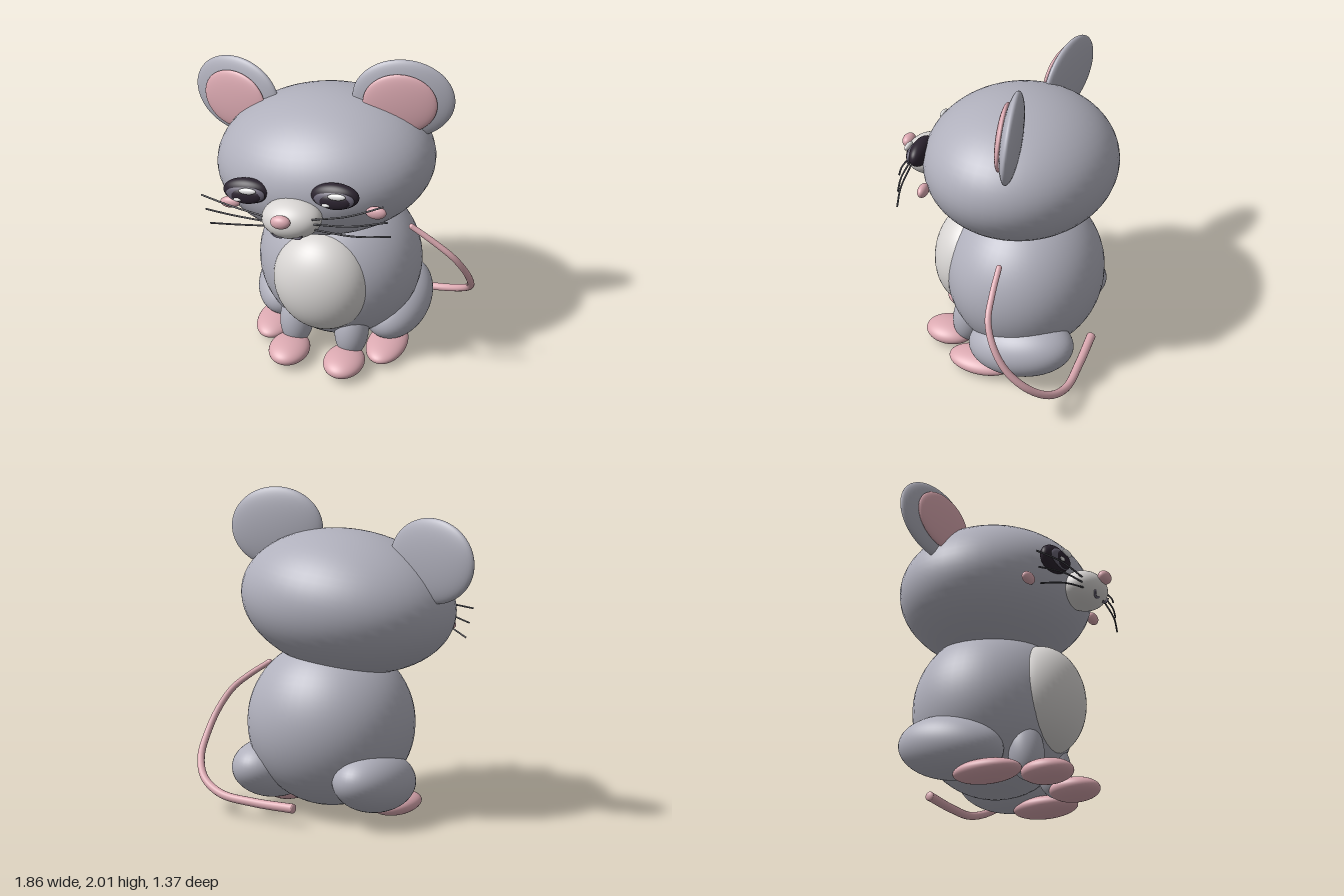
import * as THREE from 'three';

const mat = (name, color) => {
  const m = new THREE.MeshStandardMaterial({ color });
  m.name = name;
  return m;
};

export function createModel() {
  const fur = mat('grey fur', 0xb0b0bc);
  const pink = mat('pink skin', 0xdba9b1);
  const pale = mat('pale fur', 0xd8d5d3);
  const dark = mat('dark eye', 0x2c2430);
  const iris = mat('iris grey', 0x686374);
  const white = mat('eye shine', 0xf0f0f0);
  const hair = mat('whisker grey', 0x505058);

  const model = new THREE.Group();
  model.name = 'mouse';
  const ball = new THREE.SphereGeometry(1, 48, 32);
  const TILT = 0.14; // sideways tilt of the head
  const MID = 0.077; // body centre line

  const add = (name, geometry, material) => {
    const m = new THREE.Mesh(geometry, material);
    m.name = name;
    model.add(m);
    return m;
  };
  // ellipsoid from centre, radii and rotation
  const egg = (name, material, pos, radii, rot = [0, 0, 0]) => {
    const m = add(name, ball, material);
    m.position.set(...pos);
    m.scale.set(...radii);
    m.rotation.set(...rot);
    return m;
  };
  const curve = (pts) => new THREE.CatmullRomCurve3(pts.map((p) => new THREE.Vector3(...p)));

  // torso and head
  egg('body', fur, [MID, 0.57, -0.16], [0.53, 0.52, 0.495]);
  egg('belly', pale, [MID, 0.6, 0.18], [0.315, 0.342, 0.25]);
  egg('head', fur, [-0.008, 1.32, -0.1], [0.687, 0.434, 0.585], [0, 0, TILT]);

  // legs and feet, mirrored about the body centre line
  for (const [side, s] of [['right', -1], ['left', 1]]) {
    egg(side + 'Haunch', fur, [MID + s * 0.365, 0.255, -0.255], [0.22, 0.19, 0.34], [0.17, 0, 0]);
    egg(side + 'FrontLeg', fur, [MID + s * 0.187, 0.23, 0.15], [0.11, 0.19, 0.11], [-0.15, 0, 0]);
    egg(side + 'FrontFoot', pink, [MID + s * 0.187, 0.077, 0.29], [0.13, 0.069, 0.16]);
    egg(side + 'HindFoot', pink, [MID + s * 0.382, 0.064, 0], [0.128, 0.064, 0.215]);
  }

  // ears
  for (const [side, s, x, y] of [['right', -1, -0.63, 1.59], ['left', 1, 0.447, 1.758]]) {
    const rot = [-0.06, s * 0.19, 0];
    egg(side + 'Ear', fur, [x, y, -0.195], [0.306, 0.25, 0.056], rot);
    egg(side + 'InnerEar', pink, [x - s * 0.005, y - 0.008, -0.14], [0.222, 0.188, 0.036], rot);
  }

  // eyes and cheeks
  for (const [side, x, y] of [['right', -0.302, 1.33], ['left', 0.25, 1.414]]) {
    const rot = [0, 0, TILT];
    egg(side + 'EyeRim', dark, [x, y, 0.445], [0.148, 0.082, 0.06], rot);
    egg(side + 'Iris', iris, [x + 0.008, y - 0.004, 0.482], [0.124, 0.058, 0.03], rot);
    egg(side + 'Pupil', dark, [x + 0.015, y - 0.007, 0.495], [0.095, 0.05, 0.026], rot);
    egg(side + 'EyeShine', white, [x + 0.035, y + 0.042, 0.515], [0.055, 0.02, 0.016], rot);
    egg(side + 'SmallEyeShine', white, [x - 0.03, y - 0.028, 0.516], [0.026, 0.012, 0.01], rot);
  }
  egg('rightCheek', pink, [-0.457, 1.157, 0.35], [0.065, 0.036, 0.03], [0, 0, TILT]);
  egg('leftCheek', pink, [0.47, 1.292, 0.35], [0.062, 0.04, 0.03], [0, 0, TILT]);

  // muzzle, nose and mouth
  egg('muzzle', pale, [0.005, 1.245, 0.5], [0.183, 0.119, 0.14], [0, 0, TILT]);
  egg('nose', pink, [-0.008, 1.298, 0.645], [0.061, 0.041, 0.038], [0, 0, TILT]);
  for (const [x, y] of [[-0.04, 1.196], [0.068, 1.21]]) {
    const smile = add('mouth', new THREE.TorusGeometry(0.037, 0.008, 10, 24, Math.PI), iris);
    smile.position.set(x, y, 0.612);
    smile.rotation.set(0.35, 0, Math.PI + TILT);
  }

  // whiskers: root and tip
  const whiskers = [
    [[0.17, 1.3], [0.55, 1.42]],
    [[0.18, 1.27], [0.58, 1.322]],
    [[0.19, 1.235], [0.6, 1.228]],
    [[-0.16, 1.255], [-0.59, 1.247]],
    [[-0.16, 1.222], [-0.565, 1.152]],
    [[-0.15, 1.192], [-0.54, 1.057]],
  ];
  for (const [[x0, y0], [x1, y1]] of whiskers) {
    const path = curve([
      [x0 * 0.9, y0, 0.56],
      [(x0 + x1) / 2, (y0 + y1) / 2 + (x0 < 0 ? 0.008 : -0.008), 0.53],
      [x1, y1, 0.465],
    ]);
    add('whisker', new THREE.TubeGeometry(path, 16, 0.0055, 8), hair);
  }

  // tail: tube narrowed towards the tip, rounded at both ends
  const tailPath = curve([
    [0.07, 0.115, -0.605], [0.35, 0.115, -0.61], [0.6, 0.135, -0.605], [0.77, 0.205, -0.55],
    [0.87, 0.31, -0.45], [0.905, 0.44, -0.33], [0.885, 0.58, -0.24], [0.815, 0.71, -0.18],
    [0.69, 0.81, -0.16], [0.545, 0.9, -0.15],
  ]);
  const SEG = 72, RAD = 14, R0 = 0.029, R1 = 0.018;
  const tailGeo = new THREE.TubeGeometry(tailPath, SEG, R0, RAD);
  const pos = tailGeo.attributes.position;
  const v = new THREE.Vector3();
  for (let i = 0; i < pos.count; i++) {
    const t = Math.floor(i / (RAD + 1)) / SEG;
    const c = tailPath.getPointAt(t);
    v.fromBufferAttribute(pos, i).sub(c).multiplyScalar(1 + (R1 / R0 - 1) * t).add(c);
    pos.setXYZ(i, v.x, v.y, v.z);
  }
  add('tail', tailGeo, pink);
  egg('tailBase', pink, tailPath.getPointAt(0).toArray(), [0.012, R0, R0]);
  egg('tailTip', pink, tailPath.getPointAt(1).toArray(), [R1, R1, R1]);

  return model;
}
